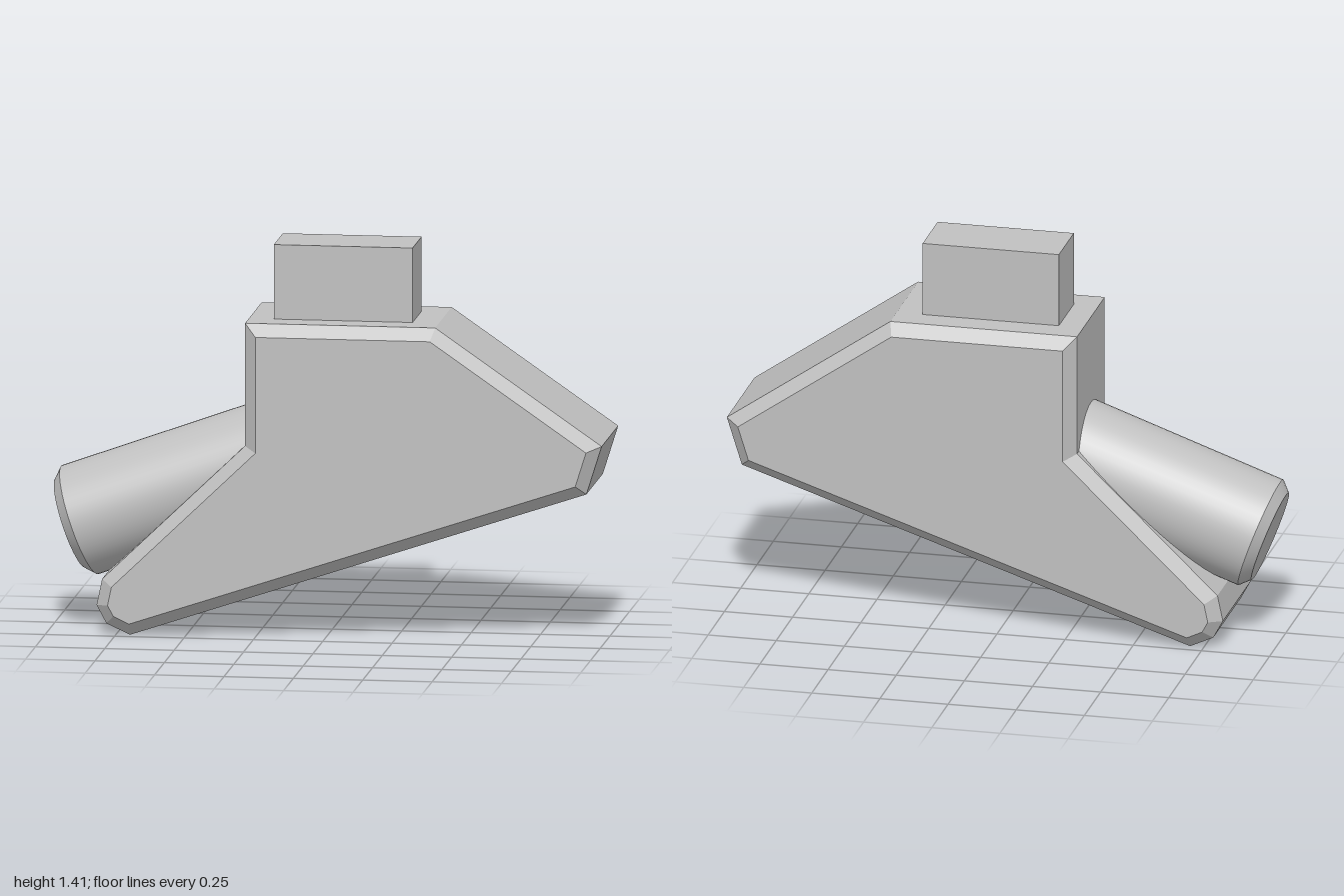
import * as THREE from 'three';

export function createModel() {
  const model = new THREE.Group();
  const grey = new THREE.MeshStandardMaterial({ color: 0xc0c0c0 });
  grey.name = 'light grey';

  const add = (name, geometry, parent = model) => {
    const mesh = new THREE.Mesh(geometry, grey);
    mesh.name = name;
    parent.add(mesh);
    return mesh;
  };

  // Wedge-shaped body: side outline extruded with a single flat chamfer
  const outline = [
    [-0.70, 0], [0.945, 0.55], [1, 0.725], [0.4, 1.14], [-0.285, 1.14],
    [-0.285, 0.695], [-0.8, 0.2], [-0.82, 0.105], [-0.785, 0.04],
  ].map(([x, y]) => new THREE.Vector2(x, y));
  const chamfer = 0.043;
  const halfWidth = 0.255;
  const body = new THREE.ExtrudeGeometry(new THREE.Shape(outline), {
    depth: 2 * (halfWidth - chamfer),
    bevelEnabled: true,
    bevelSegments: 1,
    bevelSize: chamfer,
    bevelThickness: chamfer,
    bevelOffset: -chamfer,
  });
  body.translate(0, 0, chamfer - halfWidth);
  add('body', body);

  // Rectangular post on the flat top
  const post = add('topPost', new THREE.BoxGeometry(0.5, 0.29, 0.23));
  post.position.set(0.055, 1.265, 0);

  // Slanted tube with a chamfered end, running into the body
  const tube = new THREE.Group();
  tube.name = 'slantedTube';
  tube.position.set(-0.9425, 0.3625, 0);
  tube.rotation.z = THREE.MathUtils.degToRad(19.7 - 90);
  model.add(tube);
  const radius = 0.205, edge = 0.036, length = 0.9;
  add('tubeBarrel', new THREE.CylinderGeometry(radius, radius, length - edge, 48, 1, true), tube)
    .position.y = (length + edge) / 2;
  add('tubeEndChamfer', new THREE.CylinderGeometry(radius, radius - edge, edge, 48), tube)
    .position.y = edge / 2;

  return model;
}
